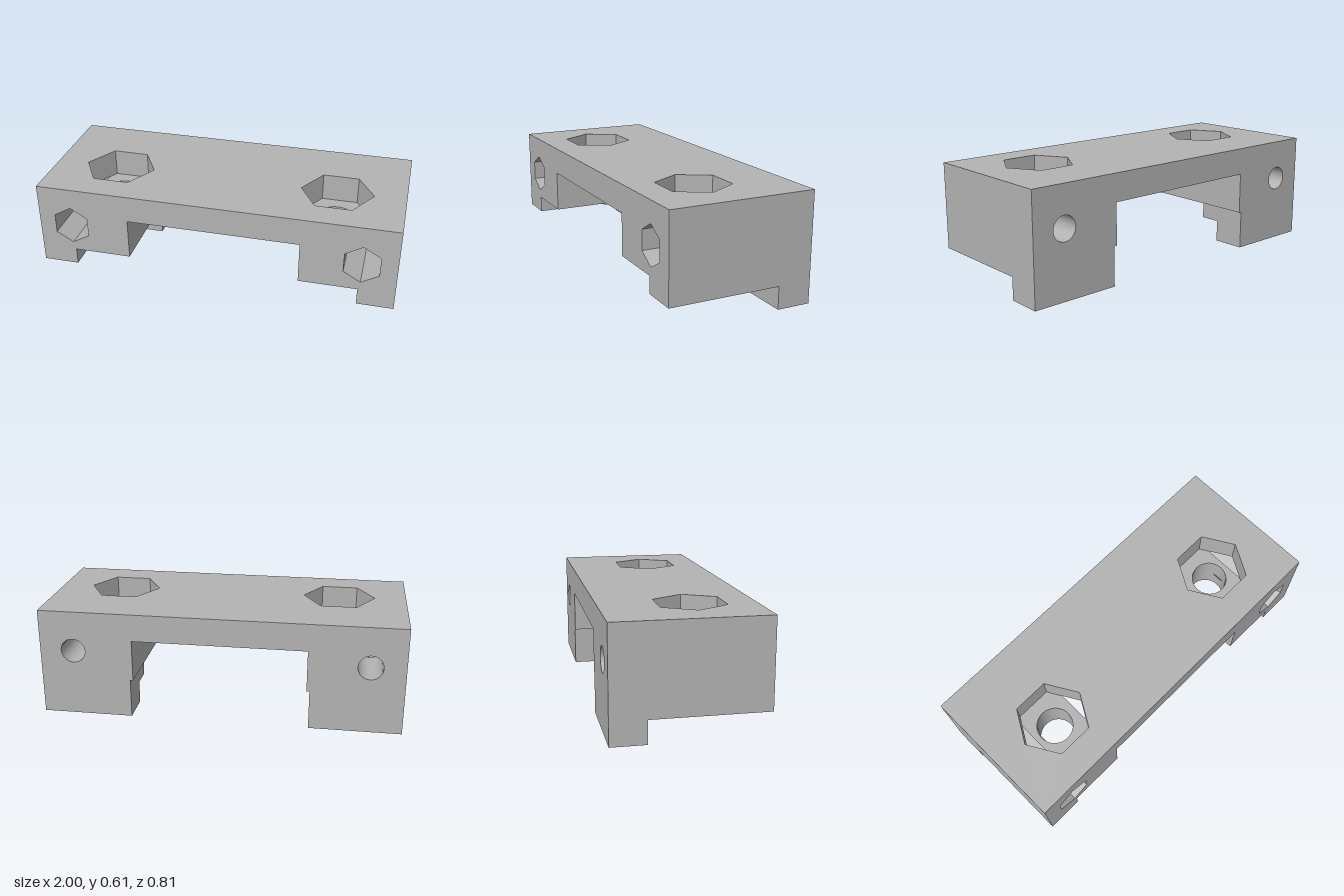
import * as THREE from 'three';
import { mergeGeometries, toCreasedNormals } from 'three/addons/utils/BufferGeometryUtils.js';

// Main levels of the bracket
const FRONT = 0.405, BACK = -0.405, TOP = 0.605, CEIL = 0.452;
const NOTCH = 0.22, LEDGE = 0.125, STEP = -0.217;
const INNER = 0.479, FOOT = 0.495, SLOT = 0.8, SLOT_R = 0.17, SLOT_Z = -0.1;
const BOLT = [0.625, 0.07], SCREW = [0.812, 0.378], NUT_Z = -0.1;

// Maps a 2D point on a plane across an axis: x -> (z, y), y -> (x, z), z -> (x, y)
const place = {
  x: (a, b, l) => [l, b, a],
  y: (a, b, l) => [a, l, b],
  z: (a, b, l) => [a, b, l],
};

function build(pos, index, flip) {
  if (flip) for (let i = 0; i < index.length; i += 3) [index[i], index[i + 1]] = [index[i + 1], index[i]];
  const g = new THREE.BufferGeometry();
  g.setAttribute('position', new THREE.Float32BufferAttribute(pos, 3));
  g.setIndex(index);
  return g.toNonIndexed();
}

const vec = (pts) => pts.map(([a, b]) => new THREE.Vector2(a, b));

// Flat face with holes, facing the positive (dir 1) or negative (dir -1) way
function face(axis, level, dir, outline, holes = []) {
  const shape = new THREE.Shape(vec(outline));
  shape.holes = holes.map((h) => new THREE.Path(vec(h)));
  const s = new THREE.ShapeGeometry(shape), p = s.attributes.position, pos = [];
  for (let i = 0; i < p.count; i++) pos.push(...place[axis](p.getX(i), p.getY(i), level));
  return build(pos, Array.from(s.index.array), dir !== (axis === 'z' ? 1 : -1));
}

// Wall swept along an axis; closed counter-clockwise loops face inward
function wall(axis, pts, l0, l1, closed = true) {
  const path = closed ? [...pts, pts[0]] : pts, pos = [], index = [];
  path.forEach(([a, b], i) => {
    pos.push(...place[axis](a, b, l0), ...place[axis](a, b, l1));
    if (i) { const k = 2 * i - 2; index.push(k, k + 2, k + 3, k, k + 3, k + 1); }
  });
  return build(pos, index, axis === 'z');
}

const rect = (a0, b0, a1, b1) => [[a0, b0], [a1, b0], [a1, b1], [a0, b1]];

function ring([ca, cb], r, n, start = 0) {
  return Array.from({ length: n }, (_, i) => {
    const t = start + (i / n) * Math.PI * 2;
    return [ca + r * Math.cos(t), cb + r * Math.sin(t)];
  });
}

const mirrorPts = (pts) => pts.map(([a, b]) => [-a, b]).reverse();
const bothSides = (pts) => [pts, mirrorPts(pts)];

function mirrorGeometry(g) {
  const m = g.clone(), p = m.attributes.position;
  for (let i = 0; i < p.count; i += 3) {
    for (let k = 0; k < 3; k++) {
      const j = i + [0, 2, 1][k], q = g.attributes.position;
      p.setXYZ(i + k, -q.getX(j), q.getY(j), q.getZ(j));
    }
  }
  return m;
}

export function createModel() {
  const model = new THREE.Group();
  model.name = 'mountingBracket';
  const grey = new THREE.MeshStandardMaterial({ color: 0xb3b3b3 });
  grey.name = 'plainGrey';

  function add(parent, name, parts, mirrored) {
    let g = mergeGeometries(parts);
    if (mirrored) g = mirrorGeometry(g);
    const mesh = new THREE.Mesh(toCreasedNormals(g, 0.4), grey);
    mesh.name = name;
    parent.add(mesh);
  }

  // Hole outlines on the left side
  const boltHex = ring(BOLT, 0.2, 6);
  const boltHole = ring(BOLT, 0.099, 48);
  const nutHex = ring(SCREW, 0.11, 6, Math.PI / 6);
  const screwHole = ring(SCREW, 0.068, 40);

  // Main faces that span both legs
  const frontHalf = [[INNER, CEIL], [INNER, NOTCH], [SLOT, NOTCH], [SLOT, LEDGE], [1, LEDGE], [1, TOP]];
  const backHalf = [[INNER, CEIL], [INNER, NOTCH], [FOOT, NOTCH], [FOOT, 0], [1, 0], [1, TOP]];
  const tip = BOLT[0] - 0.2, gap = (INNER - tip) * Math.sqrt(3);
  const ceilHalf = [
    [INNER, BACK], [INNER, BOLT[1] - gap], [tip, BOLT[1]], [INNER, BOLT[1] + gap], [INNER, FRONT],
  ];
  add(model, 'bridge', [
    face('y', TOP, 1, rect(-1, BACK, 1, FRONT), bothSides(boltHex)),
    face('z', FRONT, 1, [...frontHalf, ...mirrorPts(frontHalf)], bothSides(nutHex)),
    face('z', BACK, -1, [...backHalf, ...mirrorPts(backHalf)], bothSides(screwHole)),
    face('y', CEIL, -1, [...ceilHalf, ...mirrorPts(ceilHalf)]),
  ]);

  // Slot edge: straight back wall, rounded corner, straight outer wall
  const slotEdge = [[FOOT, SLOT_Z]];
  for (let i = 0; i <= 12; i++) {
    const t = -Math.PI / 2 + (i / 12) * Math.PI / 2;
    slotEdge.push([SLOT - SLOT_R + SLOT_R * Math.cos(t), SLOT_Z + SLOT_R + SLOT_R * Math.sin(t)]);
  }
  slotEdge.push([SLOT, FRONT]);

  // Bolt pocket floor, open at the inner tip and where it meets the nut pocket
  const cut = SCREW[0] - 0.058, cutGap = (BOLT[0] + 0.2 - cut) * Math.sqrt(3);
  const floor = [
    [INNER, BOLT[1] - gap], boltHex[4], boltHex[5], [cut, BOLT[1] - cutGap],
    [cut, BOLT[1] + cutGap], boltHex[1], boltHex[2], [INNER, BOLT[1] + gap],
  ];

  for (const side of ['left', 'right']) {
    const leg = new THREE.Group();
    leg.name = side + 'Leg';
    model.add(leg);
    const m = side === 'right';

    add(leg, side + 'LegSides', [
      face('x', 1, 1, [[FRONT, LEDGE], [FRONT, TOP], [BACK, TOP], [BACK, 0], [STEP, 0], [STEP, LEDGE]]),
      face('x', INNER, -1, rect(BACK, NOTCH, FRONT, CEIL)),
    ], m);

    add(leg, side + 'Foot', [
      face('x', FOOT, -1,
        [[BACK, 0], [STEP, 0], [STEP, LEDGE], [SLOT_Z, LEDGE], [SLOT_Z, NOTCH], [BACK, NOTCH]]),
      face('z', STEP, 1, rect(FOOT, 0, 1, LEDGE)),
      face('y', 0, -1, rect(FOOT, BACK, 1, STEP)),
      face('y', LEDGE, -1, [...slotEdge, [1, FRONT], [1, STEP], [FOOT, STEP]]),
    ], m);

    add(leg, side + 'Slot', [
      face('y', NOTCH, -1, [[INNER, BACK], [FOOT, BACK], ...slotEdge, [INNER, FRONT]], [boltHole]),
      wall('y', slotEdge, LEDGE, NOTCH, false),
    ], m);

    add(leg, side + 'BoltPocket', [
      wall('y', boltHex, CEIL, TOP),
      face('y', CEIL, 1, floor, [boltHole]),
      wall('y', boltHole, NOTCH, CEIL),
    ], m);

    add(leg, side + 'NutPocket', [
      wall('z', nutHex, NUT_Z, FRONT),
      face('z', NUT_Z, 1, nutHex, [screwHole]),
      wall('z', screwHole, BACK, NUT_Z),
    ], m);
  }
  return model;
}
